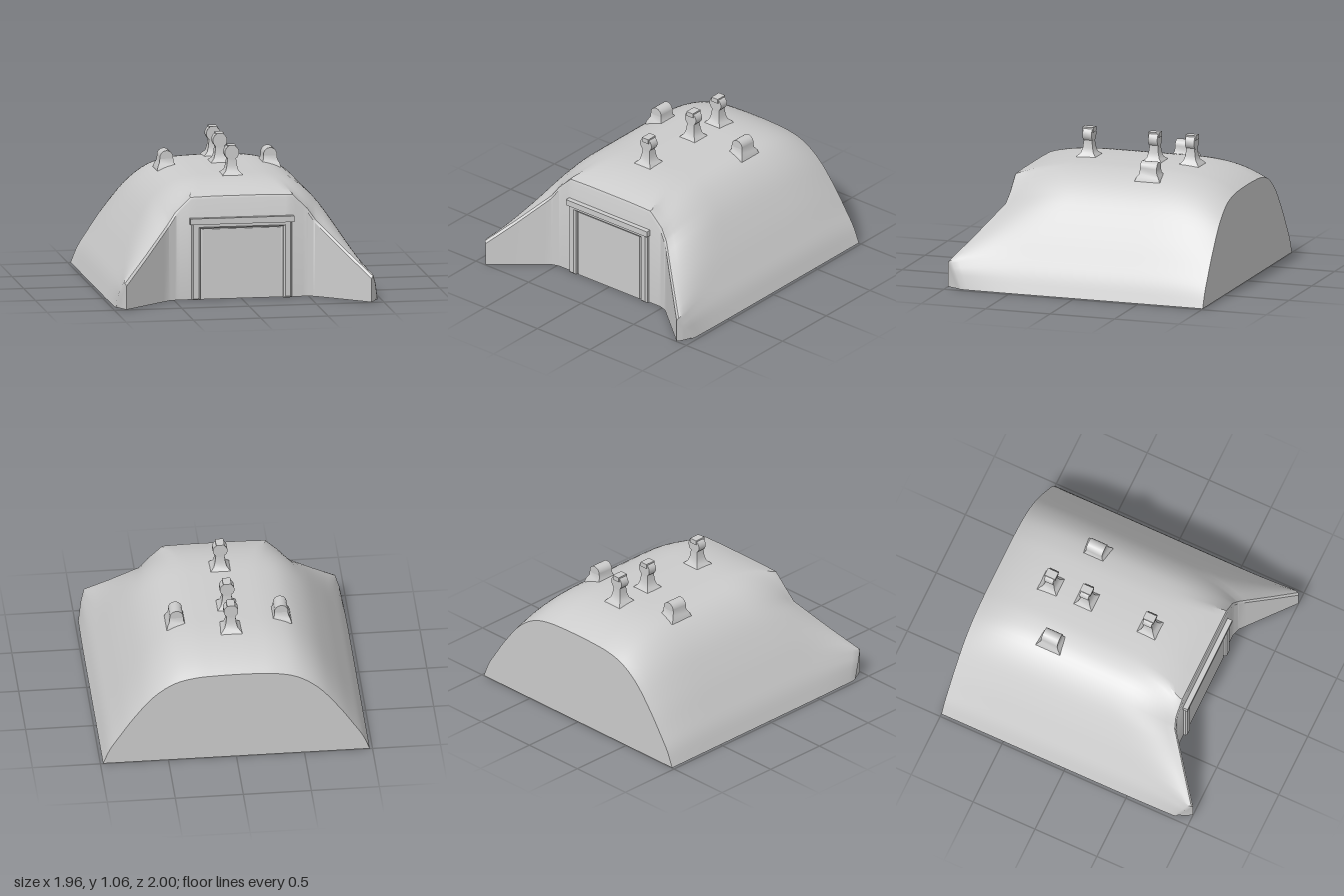
import * as THREE from 'three';
import { toCreasedNormals } from 'three/addons/utils/BufferGeometryUtils.js';

const material = new THREE.MeshStandardMaterial({ color: 0xcccccc });

function add(parent, name, geometry, x = 0, y = 0, z = 0) {
  const mesh = new THREE.Mesh(geometry, material);
  mesh.name = name;
  mesh.position.set(x, y, z);
  parent.add(mesh);
  return mesh;
}

const mirrorProfile = (half) => [
  ...half.map(([x, y, z = 0]) => new THREE.Vector3(-x, y, z)),
  ...half.slice(0, -1).reverse().map(([x, y, z = 0]) => new THREE.Vector3(x, y, z)),
];

// Arched cross-section of the mound, from the ground to the crown
const arch = new THREE.CatmullRomCurve3(mirrorProfile([
  [0.98, 0], [0.93, 0.14], [0.86, 0.27], [0.75, 0.46], [0.6, 0.67],
  [0.45, 0.79], [0.3, 0.835], [0.15, 0.847], [0, 0.85],
]));

// Front edge: wing tips, sloping wing tops, flat headwall
const edge = mirrorProfile([
  [0.975, 0, 0.9], [0.95, 0.13, 0.96], [0.925, 0.2, 1], [0.75, 0.37, 0.855], [0.55, 0.575, 0.69],
  [0.49, 0.66, 0.672], [0.38, 0.765, 0.672], [0.2, 0.77, 0.672], [0, 0.77, 0.672],
]);

function edgePoint(u) {
  const s = u * (edge.length - 1);
  const i = Math.min(Math.floor(s), edge.length - 2);
  return edge[i].clone().lerp(edge[i + 1], s - i);
}

// Closed loop of rows: underside, back wall, curved roof, rounded rim, front wall
function shellGeometry() {
  const across = 64, along = 40;
  const us = Array.from({ length: across + 1 }, (_, i) => i / across);
  const rows = [];
  for (let j = 0; j <= along; j++) {
    const t = j / along;
    const blend = Math.pow(Math.max(0, (t - 0.7) / 0.3), 2.5);
    rows.push(us.map((u) => {
      const f = edgePoint(u);
      f.z -= 0.03;
      const z = -1 + (f.z + 1) * t;
      const p = arch.getPoint(u);
      p.y *= 1 - 0.153 * Math.pow(Math.max(0, (-0.4 - z) / 0.6), 2.8);
      p.lerp(f, blend);
      p.z = z;
      p.y = Math.max(0, p.y);
      return p;
    }));
  }
  // Rounded rim leading into the front wall
  for (const [drop, back] of [[0.007, 0.009], [0.025, 0]]) {
    rows.push(us.map((u) => {
      const p = edgePoint(u);
      p.y = Math.max(0, p.y - drop);
      p.x *= 1 - drop * 0.7;
      p.z -= back;
      return p;
    }));
  }
  const ground = (row) => row.map((p) => new THREE.Vector3(p.x, 0, p.z));
  const frontGround = ground(rows[rows.length - 1]);
  rows.push(frontGround);
  rows.unshift(frontGround, ground(rows[0]));

  const positions = [], index = [], n = across + 1;
  rows.forEach((row) => row.forEach((p) => positions.push(p.x, p.y, p.z)));
  for (let j = 0; j < rows.length - 1; j++) {
    for (let i = 0; i < across; i++) {
      const a = j * n + i, b = a + 1, c = a + n, d = c + 1;
      index.push(a, c, b, b, c, d);
    }
  }
  const g = new THREE.BufferGeometry();
  g.setAttribute('position', new THREE.Float32BufferAttribute(positions, 3));
  g.setIndex(index);
  return toCreasedNormals(g, 0.6);
}

// Square stem whose half width follows [halfWidth, y] pairs
function squareStem(profile, depthScale = 1) {
  const g = new THREE.LatheGeometry(
    profile.map(([r, y]) => new THREE.Vector2(r * Math.SQRT2, y)), 4, Math.PI / 4);
  g.scale(1, 1, depthScale);
  return toCreasedNormals(g, 0.6);
}

const roundCap = (radius, length) =>
  toCreasedNormals(new THREE.CylinderGeometry(radius, radius, length, 14).rotateX(Math.PI / 2), 0.6);

function tallVent(z) {
  const vent = new THREE.Group();
  vent.name = 'tallVent';
  add(vent, 'ventStem', squareStem([
    [0.085, 0.83], [0.07, 0.853], [0.048, 0.875], [0.038, 0.91], [0.032, 0.96], [0.034, 1.01],
  ]));
  add(vent, 'ventHead', roundCap(0.054, 0.07), 0, 1.008, 0);
  add(vent, 'ventCap', new THREE.BoxGeometry(0.06, 0.035, 0.086), 0, 1.045, 0);
  vent.position.z = z;
  return vent;
}

function lowVent(side) {
  const vent = new THREE.Group();
  vent.name = side > 0 ? 'leftLowVent' : 'rightLowVent';
  add(vent, 'lowVentBase', squareStem([
    [0.075, 0.79], [0.066, 0.82], [0.052, 0.845], [0.049, 0.885],
  ], 1.3));
  add(vent, 'lowVentCap', roundCap(0.05, 0.13), 0, 0.882, 0);
  vent.position.set(side * 0.385, 0, -0.385);
  return vent;
}

// Doorway surround with an opening down to the ground
function doorFrameGeometry() {
  const s = new THREE.Shape();
  [[-0.36, 0.01], [-0.36, 0.58], [0.36, 0.58], [0.36, 0.01],
    [0.32, 0.01], [0.32, 0.54], [-0.32, 0.54], [-0.32, 0.01]]
    .forEach(([x, y], i) => (i ? s.lineTo(x, y) : s.moveTo(x, y)));
  return new THREE.ExtrudeGeometry(s, {
    depth: 0.025, bevelEnabled: true, bevelThickness: 0.012, bevelSize: 0.012, bevelSegments: 1,
  });
}

export function createModel() {
  const model = new THREE.Group();
  model.name = 'bunker';

  add(model, 'bunkerShell', shellGeometry());

  // Doorway
  add(model, 'doorFrame', doorFrameGeometry(), 0, 0, 0.662);
  add(model, 'lintel', new THREE.BoxGeometry(0.77, 0.045, 0.05), 0, 0.583, 0.685);
  add(model, 'doorPanel', new THREE.BoxGeometry(0.58, 0.52, 0.03), 0, 0.262, 0.667);

  // Roof vents
  for (const z of [-0.57, -0.285, 0.225]) model.add(tallVent(z));
  for (const side of [-1, 1]) model.add(lowVent(side));

  return model;
}
